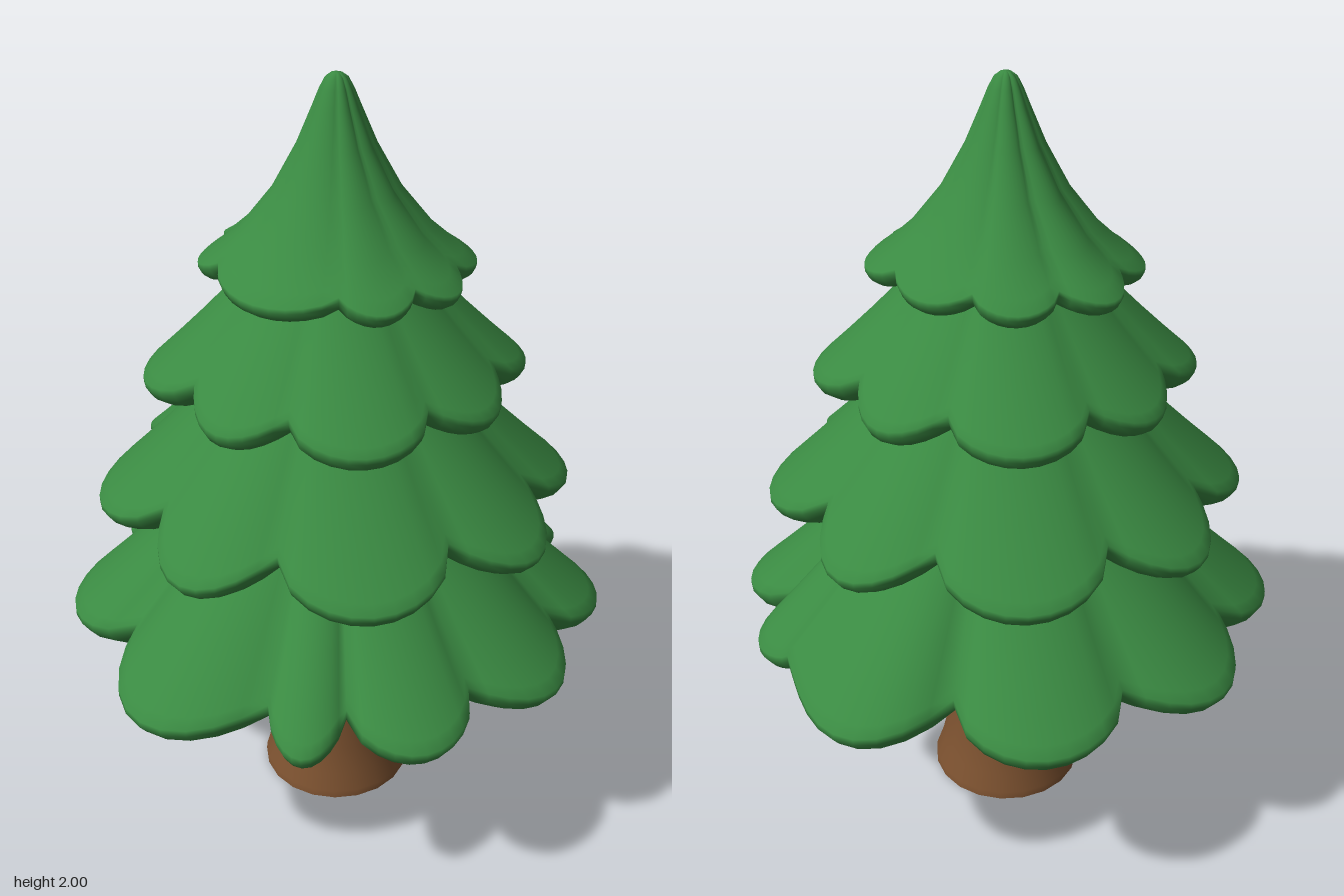
import * as THREE from 'three';

const needles = new THREE.MeshStandardMaterial({ color: 0x3a8a42 });
needles.name = 'needleGreen';
const bark = new THREE.MeshStandardMaterial({ color: 0x7d5230 });
bark.name = 'barkBrown';

const LOBE_STEPS = 10;
const lerp = THREE.MathUtils.lerp;

// Scalloped outline: one lobe between each pair of notches.
// A notch is [angle in degrees, radius]; tips holds the lobe radii and sharpness the curve powers.
function outline({ notches, tips, sharpness }) {
  const points = [];
  notches.forEach(([a0, r0], i) => {
    const last = i === notches.length - 1;
    const [a1, r1] = notches[(i + 1) % notches.length];
    const end = last ? a1 + 360 : a1;
    for (let k = 0; k < LOBE_STEPS; k++) {
      const u = k / LOBE_STEPS;
      const w = Math.pow(Math.sin(Math.PI * u), sharpness[i]);
      const base = lerp(r0, r1, u);
      points.push({
        angle: THREE.MathUtils.degToRad(lerp(a0, end, u)),
        radius: base + (tips[i] - base) * w,
        lobe: w
      });
    }
  });
  return points;
}

// One skirt of branches: sloping top, rounded drooping rim, hollow underside
function createTier(name, tier) {
  const edge = outline(tier);
  const { slope, r0, y0, tipY, notchY, thick, innerR, innerY } = tier;
  const rings = [];
  // Top surface from the crown to the rim
  for (const [t, f] of slope) {
    rings.push(p => [lerp(r0, p.radius, t), lerp(y0, lerp(notchY, tipY, p.lobe), f)]);
  }
  // Rim and underside: inset as a share of the radius, drop as a share of the thickness
  for (const [inset, drop] of [[0.0, 0.3], [0.025, 0.7], [0.075, 0.97], [0.13, 1], [0.2, 0.75]]) {
    rings.push(p => [p.radius * (1 - inset), lerp(notchY, tipY, p.lobe) - thick * drop]);
  }
  rings.push(p => [lerp(innerR, p.radius, 0.45), lerp(innerY, lerp(notchY, tipY, p.lobe), 0.45)]);
  rings.push(() => [innerR, innerY]);

  const positions = [];
  const index = [];
  const n = edge.length;
  rings.forEach((ring, i) => {
    edge.forEach((p, j) => {
      const [r, y] = ring(p);
      positions.push(r * Math.cos(p.angle), y, r * Math.sin(p.angle));
      if (i === rings.length - 1) return;
      const a = i * n + j;
      const b = i * n + (j + 1) % n;
      index.push(a, b, a + n, b, b + n, a + n);
    });
  });
  const geometry = new THREE.BufferGeometry();
  geometry.setAttribute('position', new THREE.Float32BufferAttribute(positions, 3));
  geometry.setIndex(index);
  geometry.computeVertexNormals();
  const mesh = new THREE.Mesh(geometry, needles);
  mesh.name = name;
  return mesh;
}

// Eight lobes, pointed on the axes and broad on the diagonals
function evenLobes(notchR, axisTip, diagonalTip) {
  const lobes = { notches: [], tips: [], sharpness: [] };
  for (let i = 0; i < 8; i++) {
    const onAxis = i % 2 === 0;
    lobes.notches.push([i * 45 + (onAxis ? -21 : -24), notchR]);
    lobes.tips.push(onAxis ? axisTip : diagonalTip);
    lobes.sharpness.push(onAxis ? 1 : 0.65);
  }
  return lobes;
}

// Gently concave slope for the lower tiers
const skirtSlope = [0, 0.17, 0.34, 0.5, 0.67, 0.84, 0.95, 1].map(t => [t, Math.pow(t, 0.8)]);
const crownSlope = [[0, 0], [0.04, 0.004], [0.08, 0.025], [0.12, 0.08], [0.17, 0.17],
  [0.28, 0.36], [0.46, 0.6], [0.7, 0.82], [0.9, 0.95], [1, 1]];

const tiers = {
  // The lowest skirt has two extra small lobes towards the front
  bottomBranches: {
    notches: [[-153, 0.57], [-111, 0.585], [-69, 0.585], [-27.5, 0.565], [14.7, 0.665],
      [38.7, 0.575], [73, 0.585], [110.5, 0.595], [140.6, 0.585], [159, 0.59]],
    tips: [0.71, 0.705, 0.71, 0.735, 0.69, 0.71, 0.70, 0.71, 0.70, 0.735],
    sharpness: [0.65, 1, 0.65, 1, 0.8, 0.65, 1, 0.65, 0.8, 1],
    slope: skirtSlope, r0: 0.2, y0: 1.15, tipY: 0.59, notchY: 0.645,
    thick: 0.06, innerR: 0.12, innerY: 0.71
  },
  lowerBranches: {
    ...evenLobes(0.495, 0.608, 0.615),
    slope: skirtSlope, r0: 0.15, y0: 1.46, tipY: 0.935, notchY: 1.01,
    thick: 0.05, innerR: 0.15, innerY: 1.08
  },
  upperBranches: {
    ...evenLobes(0.395, 0.458, 0.48),
    slope: skirtSlope, r0: 0.1, y0: 1.7, tipY: 1.27, notchY: 1.32,
    thick: 0.05, innerR: 0.12, innerY: 1.38
  },
  topBranches: {
    notches: [[-144, 0.29], [-105, 0.29], [-65, 0.285], [-25, 0.285], [22, 0.29],
      [72, 0.295], [106, 0.295], [142, 0.285]],
    tips: [0.335, 0.35, 0.335, 0.315, 0.34, 0.34, 0.335, 0.32],
    sharpness: [0.8, 1, 0.7, 0.8, 0.7, 0.9, 0.8, 0.7],
    slope: crownSlope, r0: 0, y0: 2, tipY: 1.545, notchY: 1.575,
    thick: 0.04, innerR: 0.1, innerY: 1.62
  }
};

// Flared trunk with a separate flat base
function createTrunk() {
  const group = new THREE.Group();
  group.name = 'trunk';
  const profile = [[0.205, 0], [0.203, 0.02], [0.185, 0.07], [0.167, 0.15], [0.153, 0.25],
    [0.145, 0.38], [0.142, 0.55], [0.138, 0.8]];
  const stem = new THREE.Mesh(
    new THREE.LatheGeometry(profile.map(([r, y]) => new THREE.Vector2(r, y)), 20), bark);
  stem.name = 'trunkStem';
  const base = new THREE.Mesh(new THREE.CircleGeometry(0.205, 20), bark);
  base.rotation.x = Math.PI / 2;
  base.name = 'trunkBase';
  group.add(stem, base);
  return group;
}

export function createModel() {
  const tree = new THREE.Group();
  tree.name = 'pineTree';
  tree.add(createTrunk());
  for (const [name, tier] of Object.entries(tiers)) tree.add(createTier(name, tier));
  return tree;
}
